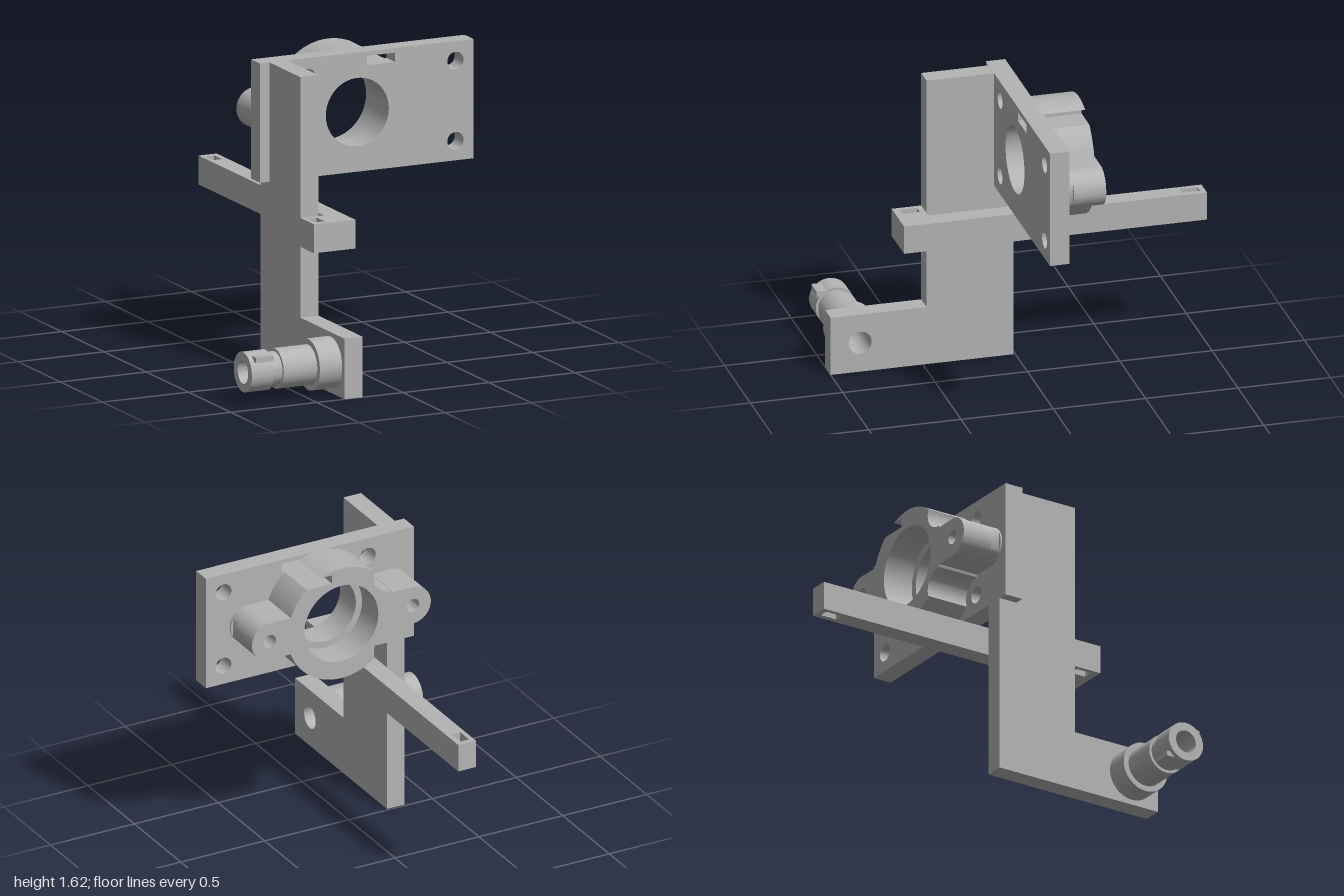
import * as THREE from 'three';
import { toCreasedNormals } from 'three/addons/utils/BufferGeometryUtils.js';

const rad = THREE.MathUtils.degToRad;

const polygon = (pts) => new THREE.Shape(pts.map(([x, y]) => new THREE.Vector2(x, y)));
const rect = (x0, y0, x1, y1) => polygon([[x0, y0], [x1, y0], [x1, y1], [x0, y1]]);
const circle = (x, y, r) => new THREE.Path().absarc(x, y, r, 0, Math.PI * 2);

function extrude(shape, depth) {
  const g = new THREE.ExtrudeGeometry(shape, { depth, bevelEnabled: false, curveSegments: 32 });
  return toCreasedNormals(g, rad(32));
}

// Outline of the bearing housing; flatEars trims the ear tips
function housingShape(flatEars, bore) {
  const R = 0.32, ear = 0.427, er = 0.106;
  const join = Math.asin(er / R);
  const s = new THREE.Shape();
  const earArc = (cx, start) => {
    const a = flatEars ? Math.acos(0.091 / er) : 0;
    const mid = start + Math.PI / 2;
    if (!a) return s.absarc(cx, 0, er, start, start + Math.PI);
    s.absarc(cx, 0, er, start, mid - a);
    s.absarc(cx, 0, er, mid + a, start + Math.PI);
  };
  earArc(ear, -Math.PI / 2);
  // ring, broken by the rectangular slot
  s.absarc(0, 0, R, join, Math.asin(0.245 / R));
  s.lineTo(0.055, 0.245);
  s.lineTo(0.055, 0.295);
  s.absarc(0, 0, R, Math.asin(0.295 / R), rad(128.7));
  // screw clearance scallops on either side of the second ear
  s.absarc(-0.29, 0.215, 0.097, rad(21), rad(-94), true);
  s.absarc(0, 0, R, rad(158.1), Math.PI - join);
  earArc(-ear, Math.PI / 2);
  s.absarc(0, 0, R, Math.PI + join, rad(201.9));
  s.absarc(-0.29, -0.215, 0.097, rad(94), rad(-21), true);
  s.absarc(0, 0, R, rad(231.3), Math.PI * 2 - join);
  s.holes.push(circle(0, 0, bore), circle(ear, 0, 0.037), circle(-ear, 0, 0.037));
  return s;
}

export function createModel() {
  const model = new THREE.Group();
  model.name = 'bracketAssembly';
  const grey = new THREE.MeshStandardMaterial({ color: 0xb4b4b4 });
  grey.name = 'plain grey';

  const add = (name, geometry, parent = model) => {
    const m = new THREE.Mesh(geometry, grey);
    m.name = name;
    parent.add(m);
    return m;
  };

  // Mounting plate with four screw holes, central bore and slot
  const plate = rect(-0.395, 0.975, 0.845, 1.615);
  for (const x of [-0.12, 0.74]) for (const y of [1.08, 1.51]) plate.holes.push(circle(x, y, 0.047));
  plate.holes.push(circle(0.17, 1.295, 0.183), rect(0.225, 1.54, 0.39, 1.59));
  add('mountingPlate', extrude(plate, 0.105)).position.z = 0.01;

  // Housing behind the plate, in layers: counterbore, trimmed ears, seat
  const housing = new THREE.Group();
  housing.name = 'bearingHousing';
  housing.position.set(0.17, 1.295, 0);
  model.add(housing);
  for (const [name, z0, z1, flat, bore] of [
    ['housingRim', -0.23, -0.055, false, 0.22],
    ['housingNeck', -0.055, 0, true, 0.183],
    ['housingSeat', 0, 0.01, false, 0.183],
  ]) add(name, extrude(housingShape(flat, bore), z1 - z0), housing).position.z = z0;

  // L-shaped upright, drawn in z and y, then turned to face sideways
  const upright = polygon([[0.01, 0], [1, 0], [1, 0.325], [0.48, 0.325], [0.48, 1.615], [0.01, 1.615]]);
  upright.holes.push(circle(0.84, 0.165, 0.062));
  add('upright', extrude(upright, 0.105).rotateY(-Math.PI / 2)).position.x = -0.235;

  // Long arm with a hooked front tab, drawn in x and -z
  const arm = polygon([[-0.34, -0.64], [-0.1, -0.64], [-0.1, 1], [-0.205, 1], [-0.205, -0.48], [-0.34, -0.48]]);
  arm.holes.push(rect(-0.315, -0.6, -0.26, -0.51), rect(-0.18, 0.875, -0.13, 0.97));
  add('arm', extrude(arm, 0.155).rotateX(-Math.PI / 2)).position.y = 0.705;

  // Hollow stepped spigot
  const spigot = new THREE.Group();
  spigot.name = 'spigot';
  spigot.position.set(-0.34, 0.165, 0.8375);
  model.add(spigot);
  const profile = [
    [0.062, 0], [0.137, 0], [0.137, 0.13], [0.107, 0.13], [0.107, 0.325], [0.092, 0.325],
    [0.092, 0.38], [0.107, 0.38], [0.107, 0.51], [0.062, 0.51], [0.062, 0],
  ].map(([r, y]) => new THREE.Vector2(r, y));
  const lathe = new THREE.LatheGeometry(profile, 64).rotateZ(Math.PI / 2);
  add('spigotBody', toCreasedNormals(lathe, rad(32)), spigot);

  // Two opposed locking lugs
  for (const s of [1, -1]) {
    add('lockingLug', new THREE.BoxGeometry(0.105, 0.028, 0.055), spigot)
      .position.set(-0.4325, s * 0.0815, s * 0.0745);
  }
  return model;
}
